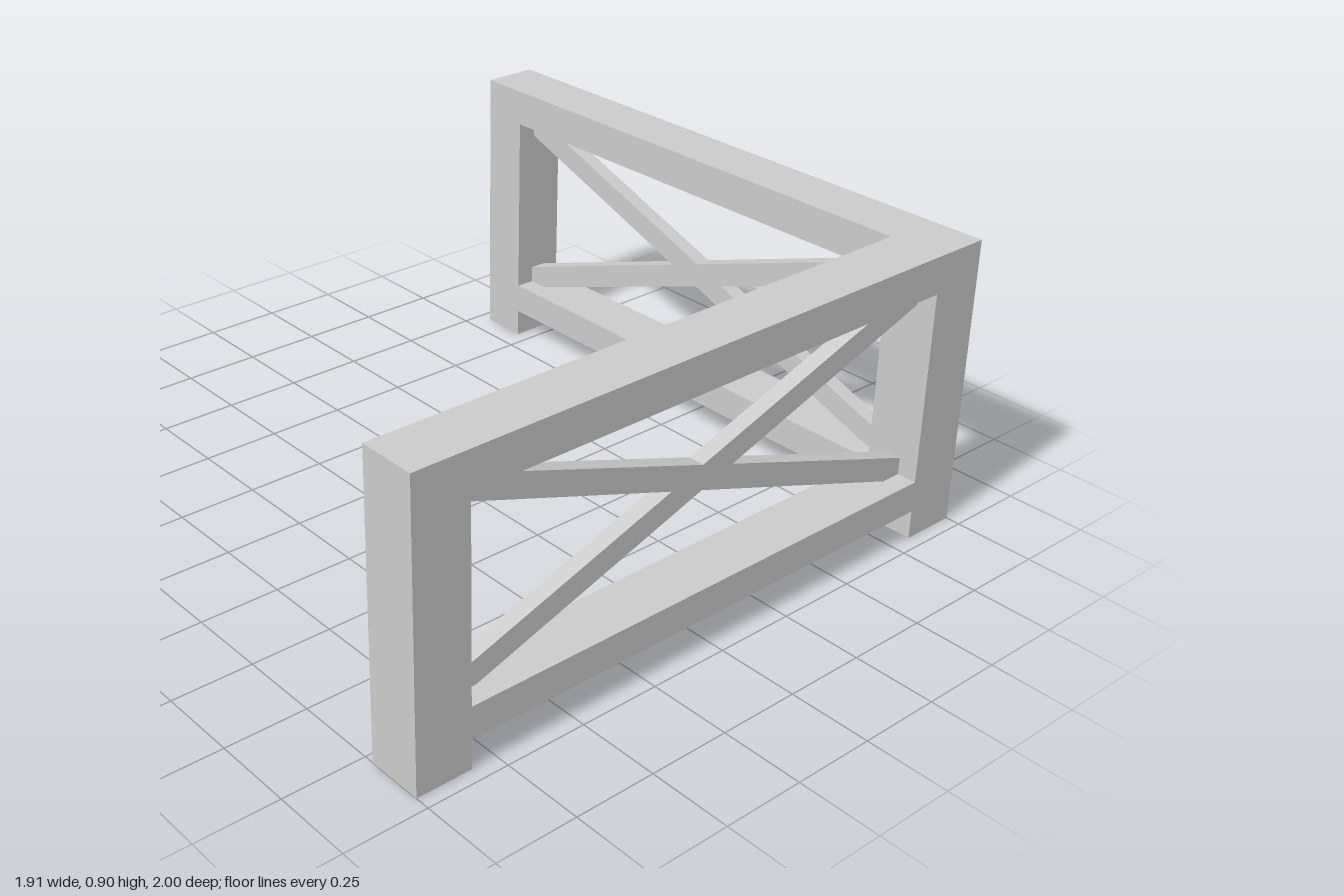
import * as THREE from 'three';

const HEIGHT = 0.9, DEPTH = 0.175, BRACE_DEPTH = 0.05;
const TOP_RAIL = 0.785, LOW_RAIL = 0.09, LOW_RAIL_TOP = 0.188;

const material = new THREE.MeshStandardMaterial({ color: 0xcccccc, flatShading: true });

// Box given by its extents along the run (u) and in height (y)
function beam(name, u0, u1, y0, y1) {
  const mesh = new THREE.Mesh(new THREE.BoxGeometry(u1 - u0, y1 - y0, DEPTH), material);
  mesh.position.set((u0 + u1) / 2, (y0 + y1) / 2, 0);
  mesh.name = name;
  return mesh;
}

// Diagonal bar trimmed square into two opposite corners of the opening
function brace(name, u0, u1, rising) {
  const y0 = LOW_RAIL_TOP, y1 = TOP_RAIL, du = 0.065, dy = 0.054;
  let points = [
    [u0, y1], [u0, y1 - dy], [u1 - du, y0], [u1, y0], [u1, y0 + dy], [u0 + du, y1],
  ];
  if (rising) points = points.map(([u, y]) => [u0 + u1 - u, y]).reverse();
  const shape = new THREE.Shape(points.map(([u, y]) => new THREE.Vector2(u, y)));
  const geometry = new THREE.ExtrudeGeometry(shape, { depth: BRACE_DEPTH, bevelEnabled: false });
  geometry.translate(0, 0, -BRACE_DEPTH / 2);
  const mesh = new THREE.Mesh(geometry, material);
  mesh.name = name;
  return mesh;
}

// Rails and crossed braces filling the run between two posts
function panel(name, u0, u1) {
  const group = new THREE.Group();
  group.name = name;
  group.add(
    beam('topRail', u0, u1, TOP_RAIL, HEIGHT),
    beam('bottomRail', u0, u1, LOW_RAIL, LOW_RAIL_TOP),
    brace('fallingBrace', u0, u1, false),
    brace('risingBrace', u0, u1, true),
  );
  return group;
}

export function createModel() {
  const model = new THREE.Group();
  model.name = 'cornerFence';

  // Back run along x, with the end post and the shared corner post
  const back = panel('backPanel', -0.8, 0.78);
  back.add(
    beam('endPost', -0.955, -0.8, 0, HEIGHT),
    beam('cornerPost', 0.78, 0.955, 0, HEIGHT),
  );
  back.position.z = -1 + DEPTH / 2;

  // Side run along z, ending in the front post
  const side = panel('sidePanel', -0.825, 0.828);
  side.add(beam('frontPost', 0.828, 1, 0, HEIGHT));
  side.rotation.y = -Math.PI / 2;
  side.position.x = 0.955 - DEPTH / 2;

  model.add(back, side);
  return model;
}
